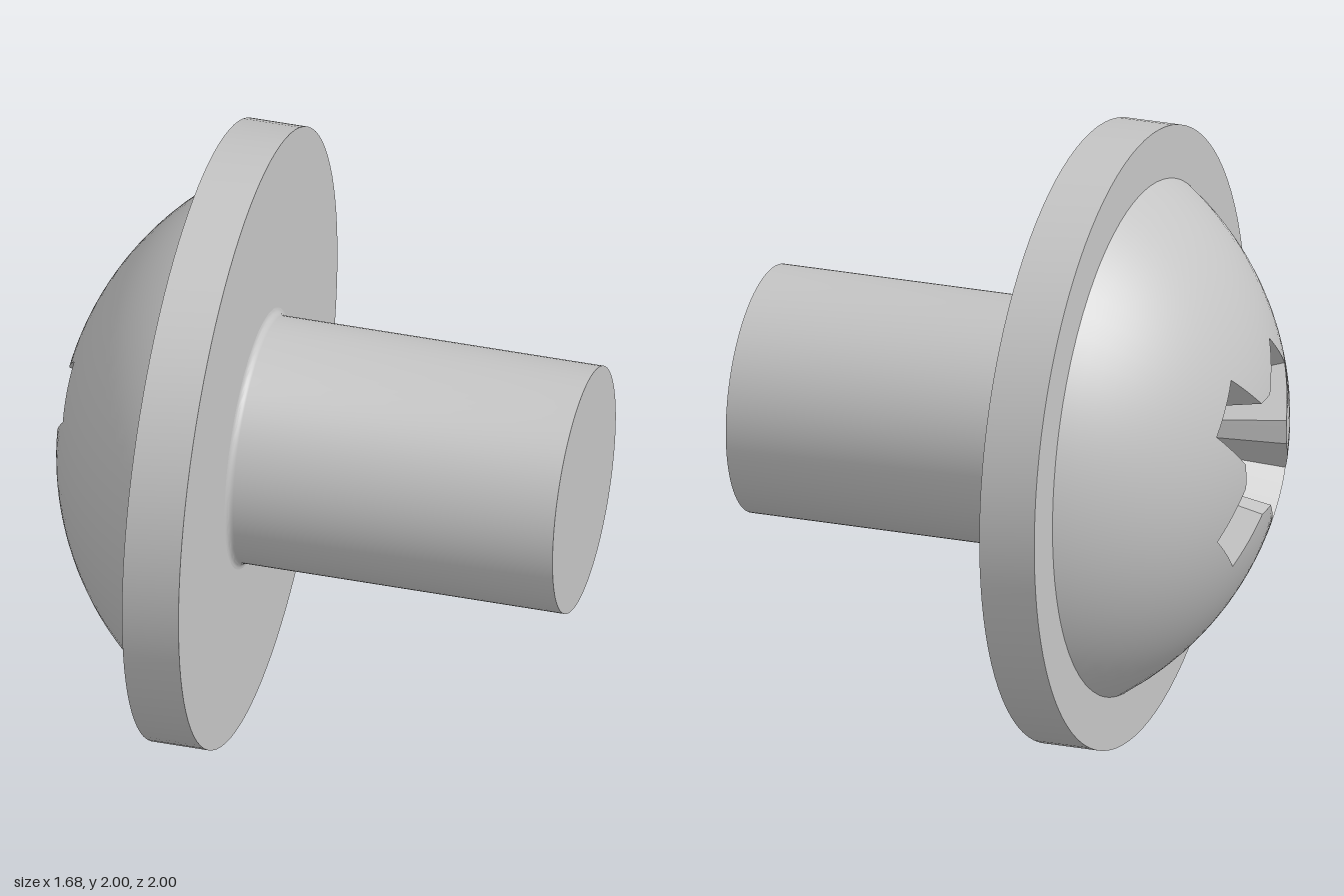
import * as THREE from 'three';
import { toCreasedNormals } from 'three/addons/utils/BufferGeometryUtils.js';

const DOME_R = 0.998, DOME_C = 0.139;
const domeHeight = (r) => DOME_C - Math.sqrt(DOME_R * DOME_R - r * r);

// Outline of the cross recess as [x, z] points, running from +z towards +x
function crossOutline(steps = 6) {
  const quarter = [[-0.04, 0.19], [0.04, 0.19], [0.18, 0.32], [0.32, 0.18]];
  const corners = [];
  for (let q = 0; q < 4; q++) {
    for (const [x, z] of quarter) {
      let p = [x, z];
      for (let k = 0; k < q; k++) p = [p[1], -p[0]];
      corners.push(p);
    }
  }
  const points = [];
  corners.forEach(([x, z], i) => {
    const [nx, nz] = corners[(i + 1) % corners.length];
    for (let s = 0; s < steps; s++) {
      const t = s / steps;
      points.push([x + (nx - x) * t, z + (nz - z) * t]);
    }
  });
  return points;
}

// Skin closed rings of equal point count, from the innermost ring outwards
function skin(rings) {
  const n = rings[0].length, index = [];
  for (let j = 0; j < rings.length - 1; j++) {
    for (let i = 0; i < n; i++) {
      const a = j * n + i, b = j * n + (i + 1) % n;
      index.push(a, b, a + n, b, b + n, a + n);
    }
  }
  const geometry = new THREE.BufferGeometry();
  geometry.setAttribute('position', new THREE.Float32BufferAttribute(rings.flat(2), 3));
  geometry.setIndex(index);
  geometry.computeVertexNormals();
  return geometry;
}

function lathe(profile) {
  const points = profile.map(([r, y]) => new THREE.Vector2(r, y));
  return toCreasedNormals(new THREE.LatheGeometry(points, 96), 0.5);
}

export function createModel() {
  const steel = new THREE.MeshStandardMaterial({ color: 0xc4c4c4 });
  steel.name = 'grey steel';
  const model = new THREE.Group();
  model.name = 'screw';
  const add = (name, geometry) => {
    const mesh = new THREE.Mesh(geometry, steel);
    mesh.name = name;
    model.add(mesh);
  };

  // Domed head, from the recess rim out to the flange
  const outline = crossOutline();
  const domeRings = [];
  for (let j = 0; j <= 14; j++) {
    domeRings.push(outline.map(([x, z]) => {
      const rim = Math.hypot(x, z);
      const r = rim + (0.83 - rim) * j / 14;
      return [x / rim * r, domeHeight(r), z / rim * r];
    }));
  }
  const dome = skin(domeRings);
  const pos = dome.attributes.position, normal = new THREE.Vector3();
  for (let i = 0; i < pos.count; i++) {
    normal.fromBufferAttribute(pos, i);
    normal.y -= DOME_C;
    normal.normalize();
    dome.attributes.normal.setXYZ(i, normal.x, normal.y, normal.z);
  }
  add('domedHead', dome);

  // Tapered cross recess: shallow conical floor, then walls up to the rim
  const ring = (scale, y) => outline.map(([x, z]) => [x * scale, y, z * scale]);
  const rimRing = outline.map(([x, z]) => [x, domeHeight(Math.hypot(x, z)), z]);
  add('crossRecess', toCreasedNormals(skin([ring(0.001, -0.4), ring(0.58, -0.45), rimRing]), 0.5));

  // Flange
  add('flange', lathe([[0.82, -0.417], [1, -0.417], [1, -0.232], [0.41, -0.232]]));

  // Shaft with a small fillet at its root
  const shaft = [];
  for (let i = 0; i <= 5; i++) {
    const a = i / 5 * Math.PI / 2;
    shaft.push([0.42 - 0.022 * Math.sin(a), -0.21 - 0.022 * Math.cos(a)]);
  }
  shaft.push([0.398, 0.835], [0, 0.835]);
  add('shaft', lathe(shaft));

  // Lay the axis along x with a very slight lean
  model.rotation.z = -Math.PI / 2 - 0.0075;
  model.position.y = 1;
  const root = new THREE.Group();
  root.add(model);
  return root;
}
